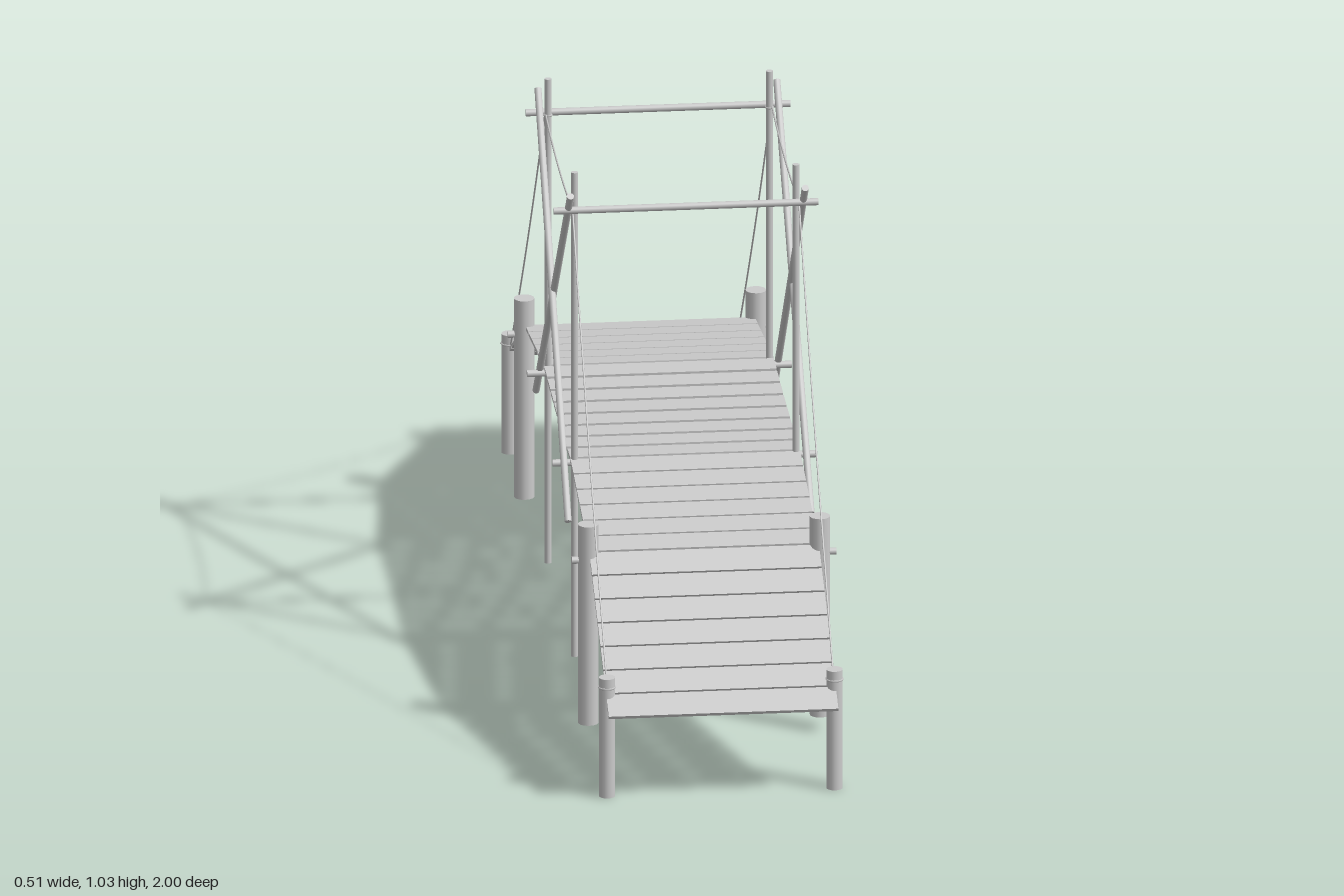
import * as THREE from 'three';

const material = new THREE.MeshStandardMaterial({ color: 0xcccccc });
const UP = new THREE.Vector3(0, 1, 0);
const V = (x, y, z) => new THREE.Vector3(x, y, z);

export function createModel() {
  const model = new THREE.Group();
  model.name = 'footbridge';

  function add(name, geometry) {
    const mesh = new THREE.Mesh(geometry, material);
    mesh.name = name;
    model.add(mesh);
    return mesh;
  }

  // Round pole between two points
  function pole(name, a, b, radius, sides = 10) {
    const dir = b.clone().sub(a);
    const mesh = add(name, new THREE.CylinderGeometry(radius, radius, dir.length(), sides));
    mesh.position.copy(a).add(b).multiplyScalar(0.5);
    mesh.quaternion.setFromUnitVectors(UP, dir.normalize());
  }

  // Thin rope hanging between two points
  function rope(name, a, b, sag) {
    const mid = a.clone().add(b).multiplyScalar(0.5);
    mid.y -= 2 * sag;
    const curve = new THREE.QuadraticBezierCurve3(a, mid, b);
    add(name, new THREE.TubeGeometry(curve, 20, 0.0018, 5));
  }

  // Row of planks following a line in the z-y plane, with an optional sag
  function planks(name, z0, y0, z1, y1, count, gap, sag = 0) {
    const height = t => y0 + (y1 - y0) * t - 4 * sag * t * (1 - t);
    for (let i = 0; i < count; i++) {
      const ta = i / count, tb = (i + 1) / count;
      const dz = (z1 - z0) / count, dy = height(tb) - height(ta);
      const plank = add(name, new THREE.BoxGeometry(0.446, 0.007, Math.hypot(dz, dy) - gap));
      plank.position.set(0, (height(ta) + height(tb)) / 2, z0 + (z1 - z0) * (i + 0.5) / count);
      plank.rotation.x = Math.atan(-dy / dz);
    }
  }

  // Walkway
  planks('middlePlank', -0.255, 0.435, 0.255, 0.435, 8, 0.011, 0.005);
  for (const s of [-1, 1]) {
    planks('upperRampPlank', s * 0.255, 0.435, s * 0.62, 0.38, 6, 0.005);
    planks('lowerRampPlank', s * 0.62, 0.38, s * 0.998, 0.18, 7, 0.004);
  }

  // Posts, masts, bracing and ropes on both sides
  for (const x of [-1, 1]) {
    for (const z of [-1, 1]) {
      pole('endPost', V(x * 0.221, 0, z * 0.942), V(x * 0.221, 0.245, z * 0.942), 0.016, 14);
      pole('rampPost', V(x * 0.225, 0.03, z * 0.619), V(x * 0.225, 0.44, z * 0.619), 0.02, 14);
      pole('mast', V(x * 0.215, 0.03, z * 0.256), V(x * 0.215, 1.03, z * 0.256), 0.007);
      rope('stayRope', V(x * 0.22, 0.955, z * 0.265), V(x * 0.22, 0.225, z * 0.93), 0.02);

      // Rope lashings around the masts and end posts
      for (const [y, px, pz, r] of [[0.955, 0.215, 0.256, 0.007], [0.43, 0.215, 0.256, 0.007], [0.225, 0.221, 0.942, 0.016]]) {
        const lashing = add('lashing', new THREE.TorusGeometry(r, 0.002, 5, 14));
        lashing.rotation.x = Math.PI / 2;
        lashing.position.set(x * px, y, z * pz);
      }
    }
    pole('crossBrace', V(x * 0.228, 1.0, 0.308), V(x * 0.232, 0.363, -0.318), 0.007);
    pole('crossBrace', V(x * 0.232, 1.0, -0.283), V(x * 0.236, 0.34, 0.34), 0.007);
    rope('topRope', V(x * 0.22, 0.957, 0.256), V(x * 0.22, 0.957, -0.256), 0.015);
    rope('deckRope', V(x * 0.175, 0.431, 0.25), V(x * 0.175, 0.431, -0.25), 0.005);
  }

  // Horizontal bars joining the two sides
  for (const z of [-1, 1]) {
    pole('topBar', V(-0.257, 0.956, z * 0.269), V(0.257, 0.956, z * 0.269), 0.007);
    pole('deckBar', V(-0.257, 0.426, z * 0.245), V(0.257, 0.426, z * 0.245), 0.007);
    pole('rampBar', V(-0.257, 0.366, z * 0.619), V(0.257, 0.366, z * 0.619), 0.007);
  }

  return model;
}
